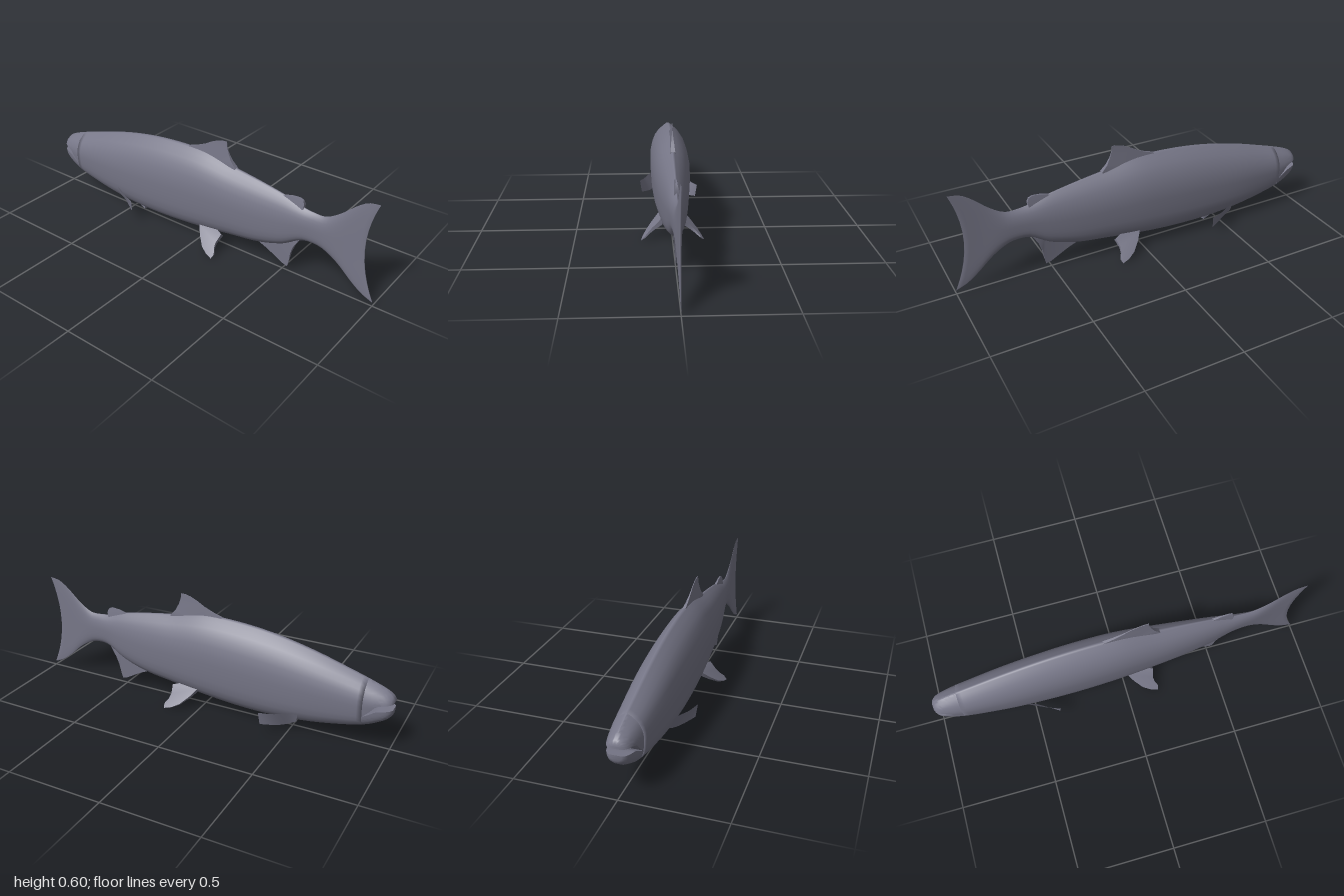
import * as THREE from 'three';
import { toCreasedNormals } from 'three/addons/utils/BufferGeometryUtils.js';

// body stations: x, belly y, back y, half width
const STATIONS = [
  [-1, 0.2, 0.285, 0.03], [-0.985, 0.178, 0.302, 0.047], [-0.95, 0.152, 0.322, 0.06],
  [-0.88, 0.118, 0.349, 0.073], [-0.8, 0.095, 0.375, 0.081], [-0.6, 0.06, 0.435, 0.095],
  [-0.4, 0.044, 0.48, 0.101], [-0.2, 0.047, 0.505, 0.102], [0, 0.064, 0.508, 0.096],
  [0.2, 0.09, 0.475, 0.081], [0.36, 0.112, 0.45, 0.065], [0.5, 0.155, 0.423, 0.048],
  [0.6, 0.213, 0.394, 0.034], [0.66, 0.221, 0.386, 0.026], [0.72, 0.21, 0.388, 0.02],
  [0.8, 0.162, 0.435, 0.014], [0.88, 0.09, 0.5, 0.009], [0.94, 0.045, 0.537, 0.006],
  [1, 0.02, 0.547, 0.003],
];
// relative half width from belly (0) to back (1)
const PROFILE = [[0, 0.28], [0.07, 0.66], [0.2, 0.9], [0.43, 1], [0.63, 0.99], [0.84, 0.7], [0.94, 0.33], [1, 0.04]];
// mouth edges: x, upper jaw underside y, lower jaw upper side y
const MOUTH_X = -0.865;
const MOUTH = [[-1, 0.26, 0.228], [-0.93, 0.246, 0.218], [-0.9, 0.214, 0.2], [MOUTH_X, 0.18, 0.18]];

// smooth interpolation of column k in a table sorted by its first column
function sample(table, x, k) {
  const last = table.length - 1;
  let i = 0;
  while (i < last - 1 && x > table[i + 1][0]) i++;
  const slope = (j) => {
    const a = table[Math.max(j - 1, 0)], b = table[Math.min(j + 1, last)];
    return (b[k] - a[k]) / (b[0] - a[0]);
  };
  const p = table[i], q = table[i + 1], h = q[0] - p[0];
  const t = THREE.MathUtils.clamp((x - p[0]) / h, 0, 1), t2 = t * t, t3 = t2 * t;
  return (2 * t3 - 3 * t2 + 1) * p[k] + (t3 - 2 * t2 + t) * h * slope(i)
    + (3 * t2 - 2 * t3) * q[k] + (t3 - t2) * h * slope(i + 1);
}

// cross-section loop at x, limited to heights lo..hi
const SIDE = 14;
function ring(x, lo, hi) {
  const bottom = sample(STATIONS, x, 1), top = sample(STATIONS, x, 2), w = sample(STATIONS, x, 3);
  const fork = THREE.MathUtils.smoothstep(x, 0.7, 1);
  const half = [];
  for (let j = 0; j <= SIDE; j++) {
    const s = 0.5 - 0.5 * Math.cos((Math.PI * j) / SIDE);
    const y = THREE.MathUtils.lerp(lo ?? bottom, hi ?? top, s);
    const t = THREE.MathUtils.clamp((y - bottom) / (top - bottom), 0, 1);
    const dx = fork * (0.06 * (1 - (2 * t - 1) ** 2) + 0.02 * t);
    half.push([x - dx, y, w * sample(PROFILE, t, 1)]);
  }
  return [...half, ...half.map(([a, b, c]) => [a, b, -c]).reverse()];
}

// skin through a list of loops, closed at both ends
function loft(rings) {
  const n = rings[0].length, pos = rings.flat(2), idx = [];
  for (let i = 0; i < rings.length - 1; i++) {
    for (let j = 0; j < n; j++) {
      const a = i * n + j, b = i * n + ((j + 1) % n);
      idx.push(a, a + n, b, b, a + n, b + n);
    }
  }
  const end = (rings.length - 1) * n;
  for (let j = 0; j < n / 2 - 1; j++) {
    const k = n - 1 - j;
    idx.push(j, j + 1, k, k, j + 1, k - 1);
    idx.push(end + j, end + k, end + j + 1, end + k, end + k - 1, end + j + 1);
  }
  const g = new THREE.BufferGeometry();
  g.setAttribute('position', new THREE.Float32BufferAttribute(pos, 3));
  g.setIndex(idx);
  g.computeVertexNormals();
  return g;
}

const span = (a, b, n, f) => Array.from({ length: n + 1 }, (_, i) => f(a + ((b - a) * i) / n));

// flat fin thinning from its base height towards its tip
function finGeometry(points, baseY, height, baseThick, tipThick = 0.003) {
  const shape = new THREE.Shape(points.map(([x, y]) => new THREE.Vector2(x, y)));
  const g = new THREE.ExtrudeGeometry(shape, { depth: 1, bevelEnabled: false });
  const p = g.attributes.position;
  for (let i = 0; i < p.count; i++) {
    const t = THREE.MathUtils.clamp(Math.abs(p.getY(i) - baseY) / height, 0, 1);
    p.setZ(i, (p.getZ(i) - 0.5) * THREE.MathUtils.lerp(baseThick, tipThick, t));
  }
  return toCreasedNormals(g, 0.7);
}

// thin curved sheet between an upper and a lower edge
function sheetGeometry(upper, lower) {
  const curves = [upper, lower].map((e) => new THREE.CatmullRomCurve3(e.map((v) => new THREE.Vector3(...v))));
  const n = 8, pos = [], idx = [];
  for (let i = 0; i <= n; i++) {
    for (const c of curves) pos.push(...c.getPoint(i / n).toArray());
    if (i < n) idx.push(2 * i, 2 * i + 1, 2 * i + 2, 2 * i + 2, 2 * i + 1, 2 * i + 3);
  }
  const g = new THREE.BufferGeometry();
  g.setAttribute('position', new THREE.Float32BufferAttribute(pos, 3));
  g.setIndex(idx);
  g.computeVertexNormals();
  return g;
}

export function createModel() {
  const fish = new THREE.Group();
  fish.name = 'fish';
  const skin = new THREE.MeshStandardMaterial({ color: 0x777788, side: THREE.DoubleSide });
  skin.name = 'slate grey skin';
  const add = (name, geometry) => {
    const mesh = new THREE.Mesh(geometry, skin);
    mesh.name = name;
    fish.add(mesh);
    return mesh;
  };

  // body running into the forked tail, and the two jaws
  add('bodyAndTail', loft(span(MOUTH_X, 1, 72, (x) => ring(x))));
  const upperJaw = loft(span(-1, MOUTH_X, 14, (x) => ring(x, sample(MOUTH, x, 1), undefined)));
  const lowerJaw = loft(span(-1, MOUTH_X, 14, (x) => ring(x, undefined, sample(MOUTH, x, 2))));
  add('upperJaw', toCreasedNormals(upperJaw, 0.9));
  add('lowerJaw', toCreasedNormals(lowerJaw, 0.9));

  // fins on the centre line
  add('dorsalFin', finGeometry([[-0.12, 0.49], [-0.085, 0.512], [-0.04, 0.527], [0.01, 0.55], [0.05, 0.574],
    [0.09, 0.592], [0.12, 0.599], [0.143, 0.6], [0.147, 0.57], [0.157, 0.54], [0.175, 0.505], [0.205, 0.472],
    [0.18, 0.44], [0, 0.46]], 0.47, 0.09, 0.025));
  add('adiposeFin', finGeometry([[0.47, 0.41], [0.49, 0.423], [0.535, 0.436], [0.575, 0.44], [0.596, 0.431],
    [0.603, 0.412], [0.6, 0.385], [0.54, 0.38]], 0.39, 0.05, 0.025, 0.006));
  add('analFin', finGeometry([[0.34, 0.115], [0.36, 0.105], [0.41, 0.082], [0.465, 0.05], [0.5, 0.03],
    [0.528, 0.022], [0.537, 0.06], [0.545, 0.11], [0.56, 0.155], [0.592, 0.21], [0.52, 0.24], [0.4, 0.16]],
  0.18, 0.14, 0.03));

  // small flap under the belly
  const flap = add('bellyFlap', finGeometry([[-0.49, 0.06], [-0.45, 0.034], [-0.41, 0.014], [-0.412, 0.055]],
    0.05, 0.04, 0.03, 0.03));
  flap.position.z = 0;

  // paired fins
  for (const side of [1, -1]) {
    const label = side > 0 ? 'left' : 'right';
    const dy = side > 0 ? 0 : -0.03;
    const edge = (pts) => pts.map(([x, y, z]) => [x, y + dy, z * side]);
    add(label + 'PectoralFin', sheetGeometry(
      edge([[-0.55, 0.145, 0.085], [-0.5, 0.15, 0.11], [-0.44, 0.144, 0.137], [-0.373, 0.148, 0.163]]),
      edge([[-0.545, 0.1, 0.075], [-0.5, 0.075, 0.078], [-0.45, 0.068, 0.105], [-0.38, 0.08, 0.153]])));

    const pelvic = add(label + 'PelvicFin', finGeometry([[0.02, 0.005], [0.05, -0.045], [0.09, -0.095],
      [0.13, -0.122], [0.168, -0.135], [0.175, -0.11], [0.16, -0.08], [0.155, -0.05], [0.165, 0], [0.1, 0.03]],
    0, 0.13, 0.024));
    pelvic.rotation.x = -0.835 * side;
    pelvic.position.set(0, 0.091, 0.06 * side);
  }
  return fish;
}
